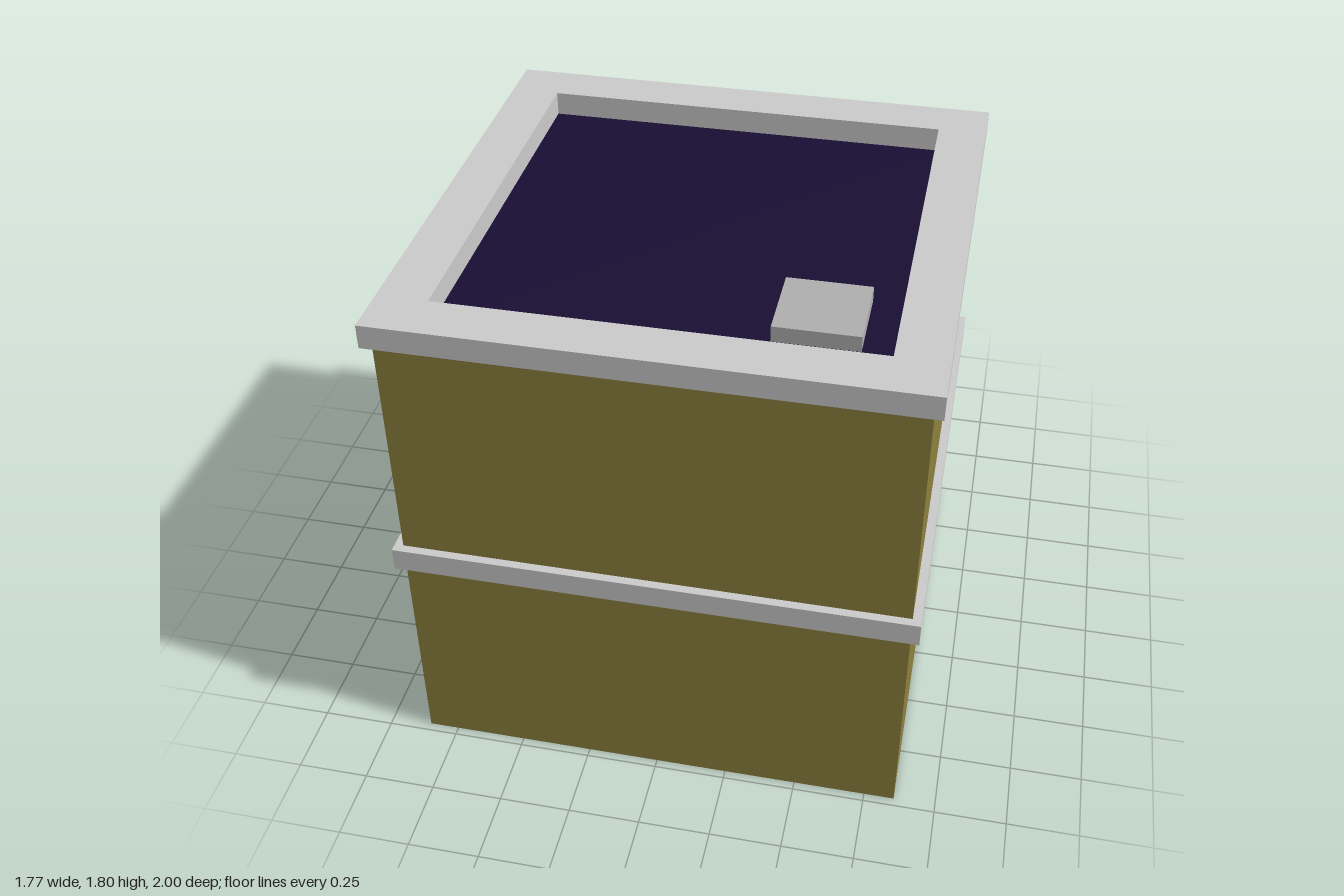
import * as THREE from 'three';

const mat = (color, side = THREE.FrontSide) => new THREE.MeshStandardMaterial({ color, side, flatShading: true });
const GREY = mat(0xcccccc);
const GLASS = mat(0x464848);
const WOOD = mat(0x55360d);

// Box given by its minimum and maximum on each axis
function box(parent, name, material, [x0, x1], [y0, y1], [z0, z1]) {
  const mesh = new THREE.Mesh(new THREE.BoxGeometry(x1 - x0, y1 - y0, z1 - z0), material);
  mesh.position.set((x0 + x1) / 2, (y0 + y1) / 2, (z0 + z1) / 2);
  mesh.name = name;
  parent.add(mesh);
  return mesh;
}

// Open rectangular shell through a list of [outward offset from wall, height]
function shell(parent, name, color, profile) {
  const ring = ([e, y]) => {
    const x = 0.855 + e, back = -0.74 - e, front = 0.97 + e;
    return [[x, y, front], [x, y, back], [-x, y, back], [-x, y, front]];
  };
  const pos = [];
  for (let i = 0; i < profile.length - 1; i++) {
    const a = ring(profile[i]), b = ring(profile[i + 1]);
    for (let j = 0; j < 4; j++) {
      const k = (j + 1) % 4;
      pos.push(...a[j], ...a[k], ...b[k], ...a[j], ...b[k], ...b[j]);
    }
  }
  const g = new THREE.BufferGeometry();
  g.setAttribute('position', new THREE.Float32BufferAttribute(pos, 3));
  g.computeVertexNormals();
  const mesh = new THREE.Mesh(g, mat(color, THREE.DoubleSide));
  mesh.name = name;
  parent.add(mesh);
}

// Two jambs and a lintel, with an optional bottom bar
function frame(parent, name, material, [x0, x1], [y0, y1], z, t, bottom = false) {
  box(parent, name + 'JambRight', material, [x0, x0 + t], [y0, y1], z);
  box(parent, name + 'JambLeft', material, [x1 - t, x1], [y0, y1], z);
  box(parent, name + 'Lintel', material, [x0 + t, x1 - t], [y1 - t, y1], z);
  if (bottom) box(parent, name + 'Bottom', material, [x0 + t, x1 - t], [y0, y0 + t], z);
}

function group(parent, name) {
  const g = new THREE.Group();
  g.name = name;
  parent.add(g);
  return g;
}

export function createModel() {
  const model = new THREE.Group();
  model.name = 'house';

  // Walls and projecting bands, one open skin
  shell(model, 'lowerWalls', 0x8d803c, [[0, 0], [0, 0.805]]);
  shell(model, 'floorBand', 0xcccccc, [[0, 0.805], [0.03, 0.805], [0.03, 0.888], [0, 0.888]]);
  shell(model, 'upperWalls', 0x8d803c, [[0, 0.888], [0, 1.717]]);
  shell(model, 'parapet', 0xcccccc, [[0, 1.717], [0.03, 1.717], [0.03, 1.8], [-0.14, 1.8], [-0.14, 1.715]]);

  // Flat roof with a hatch
  const roof = new THREE.Mesh(new THREE.PlaneGeometry(1.43, 1.43), mat(0x190e33, THREE.DoubleSide));
  roof.rotation.x = -Math.PI / 2;
  roof.position.set(0, 1.715, 0.115);
  roof.name = 'roof';
  model.add(roof);
  box(model, 'roofHatch', mat(0xafafaf), [0.33, 0.61], [1.715, 1.77], [0.43, 0.71]);

  // Entrance door
  const door = group(model, 'entrance');
  frame(door, 'entrance', WOOD, [-0.18, 0.18], [0, 0.67], [-0.815, -0.74], 0.015);
  box(door, 'entranceDoor', WOOD, [-0.165, 0.165], [0, 0.655], [-0.757, -0.74]);

  // Window: outer frame, two glazed sashes and a sill
  const win = group(model, 'window');
  frame(win, 'window', GREY, [0.285, 0.57], [1.13, 1.56], [-0.815, -0.74], 0.015, true);
  for (const [x0, x1] of [[0.3, 0.4275], [0.4275, 0.555]]) {
    frame(win, 'sash', GREY, [x0, x1], [1.145, 1.545], [-0.785, -0.74], 0.015, true);
    box(win, 'windowPane', GLASS, [x0 + 0.015, x1 - 0.015], [1.16, 1.53], [-0.765, -0.742]);
  }
  box(win, 'windowSill', GREY, [0.285, 0.57], [1.132, 1.148], [-0.86, -0.815]);

  // Balcony doorway: deep frame, door panel, glazing
  const balcony = group(model, 'balcony');
  frame(balcony, 'balconyFrame', GREY, [-0.655, -0.09], [0.96, 1.675], [-0.825, -0.74], 0.035);
  box(balcony, 'balconyDoor', GREY, [-0.62, -0.125], [0.96, 1.64], [-0.772, -0.74]);
  for (const [x0, x1, y0] of [[-0.59, -0.487, 1.35], [-0.43, -0.315, 1.05], [-0.258, -0.155, 1.35]]) {
    box(balcony, 'balconyPane', GLASS, [x0, x1], [y0, 1.61], [-0.775, -0.77]);
  }
  box(balcony, 'balconySlab', GREY, [-0.655, -0.09], [0.96, 1.03], [-1, -0.825]);

  // Railing: top rails and balusters
  const xr = -0.645, xl = -0.1, t = 0.015, zf = -0.988, yTop = [1.18, 1.195];
  box(balcony, 'frontRail', GREY, [xr, xl], yTop, [zf, zf + t]);
  for (const x of [xr, xl - t]) {
    box(balcony, 'sideRail', GREY, [x, x + t], yTop, [zf + t, -0.825]);
    for (const z of [-0.912, -0.842]) box(balcony, 'sideBaluster', GREY, [x, x + t], [1.03, 1.18], [z, z + t]);
  }
  for (let i = 0; i < 7; i++) {
    const x = xr + (i * (xl - t - xr)) / 6;
    box(balcony, 'frontBaluster', GREY, [x, x + t], [1.03, 1.18], [zf, zf + t]);
  }
  return model;
}
